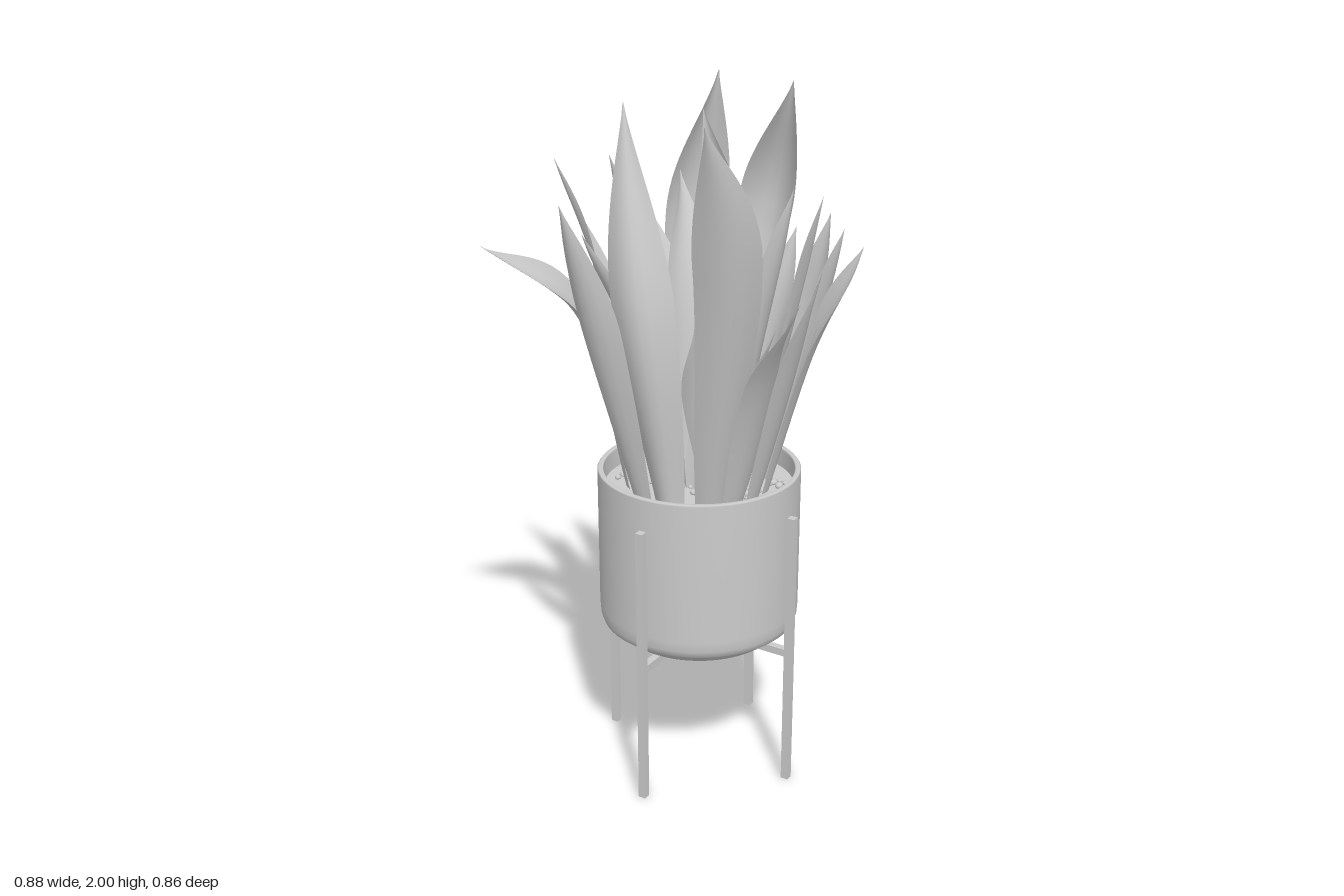
import * as THREE from 'three';

const CX = 0.016, CZ = -0.022; // axis of the pot
const SOIL_Y = 0.88;

const grey = new THREE.MeshStandardMaterial({ color: 0xcccccc });
const leafGrey = new THREE.MeshStandardMaterial({ color: 0xcccccc, side: THREE.DoubleSide });

// Each leaf: base x,z | middle x,y,z | tip x,y,z | half width | twist at the tip | cup depth | turn about y
const frontLeaves = [
  [0.035, 0.17, 0.0, 1.45, 0.255, -0.1, 1.98, 0.165, 0.085, 0.5, 0.7, 0.3],
  [-0.06, 0.17, -0.1, 1.38, 0.33, -0.12, 1.76, 0.425, 0.075, 0.4, 0.6],
  [0.13, 0.1, 0.265, 1.6, 0.24, 0.26, 1.98, 0.355, 0.09, -0.4, 0.45],
  [-0.15, 0.09, -0.29, 1.4, 0.15, -0.43, 1.6, 0.36, 0.07, 0.5],
  [0.12, 0.06, 0.11, 1.2, 0.13, 0.13, 1.42, 0.19, 0.045, 0.9],
  [0.18, 0.07, 0.31, 1.28, 0.115, 0.42, 1.52, 0.155, 0.065, 1.0],
  [-0.18, 0.0, -0.29, 1.42, 0.01, -0.44, 1.77, 0.01, 0.075, 1.0],
];
const backLeaves = [
  [-0.01, -0.25, 0.02, 1.62, -0.43, 0.11, 1.98, -0.36, 0.085, 0.3, 0.8],
  [-0.11, -0.19, -0.185, 1.6, -0.32, -0.1, 2.0, -0.31, 0.09, 0.4, 0.55],
  [-0.11, -0.09, -0.18, 1.42, -0.11, -0.31, 1.74, -0.14, 0.08, 1.0],
  [-0.07, -0.12, -0.11, 1.42, -0.17, -0.2, 1.72, -0.265, 0.075, 0.9],
  [0.07, -0.2, 0.11, 1.33, -0.28, 0.14, 1.58, -0.34, 0.055, 0.6],
  [0.13, -0.18, 0.22, 1.36, -0.28, 0.26, 1.64, -0.315, 0.058, 0.6],
  [0.17, -0.13, 0.29, 1.35, -0.2, 0.34, 1.62, -0.24, 0.062, 0.5],
];
const innerLeaves = [
  [0.2, -0.08, 0.34, 1.34, -0.11, 0.435, 1.6, -0.165, 0.062, 1.1],
  [0.2, -0.01, 0.34, 1.32, 0.01, 0.41, 1.57, 0.02, 0.062, 0.6],
  [0.14, -0.07, 0.26, 1.4, -0.13, 0.31, 1.72, -0.17, 0.065, 0.4],
  [0.08, -0.1, 0.15, 1.38, -0.16, 0.2, 1.72, -0.21, 0.065, 0.4],
  [0.03, 0.02, 0.105, 1.55, -0.04, 0.04, 1.95, 0.0, 0.08, 0.4, 0.35, 1.2],
  [-0.03, 0.0, -0.08, 1.4, 0.06, -0.17, 1.83, 0.13, 0.075, 1.0],
  [-0.07, 0.05, -0.13, 1.3, 0.1, -0.23, 1.62, 0.18, 0.06, 0.8],
  [0.0, -0.1, 0.0, 1.4, -0.17, -0.01, 1.8, -0.13, 0.065, 0.6],
  [0.17, 0.02, 0.22, 1.2, 0.03, 0.28, 1.4, 0.02, 0.045, 0.8],
];

// Cupped, pointed blade swept along a curve
function makeLeaf([bx, bz, mx, my, mz, tx, ty, tz, width, twist, cup = 0.35, turn = 0]) {
  const curve = new THREE.CatmullRomCurve3([
    new THREE.Vector3(bx, SOIL_Y - 0.03, bz),
    new THREE.Vector3(mx, my, mz),
    new THREE.Vector3(tx, ty, tz),
  ]);
  const outward = new THREE.Vector3(mx - CX, 0, mz - CZ).normalize();
  outward.applyAxisAngle(new THREE.Vector3(0, 1, 0), turn);
  const rows = 28, cols = 6;
  const positions = [], index = [];
  for (let i = 0; i <= rows; i++) {
    const t = i / rows;
    const p = curve.getPoint(t);
    const tangent = curve.getTangent(t);
    const side = new THREE.Vector3().crossVectors(tangent, outward).normalize();
    side.applyAxisAngle(tangent, twist * t * t);
    const normal = new THREE.Vector3().crossVectors(side, tangent).normalize();
    // narrow foot, broad middle, drawn-out tip
    const swell = 0.45 + 0.55 * Math.sin(Math.PI * Math.min(t / 1.1, 0.5));
    const taper = t < 0.5 ? 1 : Math.pow(Math.cos((t - 0.5) * Math.PI), 1.15);
    const w = width * swell * Math.max(taper, 0.01);
    for (let j = 0; j <= cols; j++) {
      const s = (j / cols) * 2 - 1;
      const v = p.clone().addScaledVector(side, s * w).addScaledVector(normal, -cup * w * s * s);
      positions.push(v.x, v.y, v.z);
      if (i < rows && j < cols) {
        const a = i * (cols + 1) + j, b = a + cols + 1;
        index.push(a, a + 1, b, a + 1, b + 1, b);
      }
    }
  }
  const geo = new THREE.BufferGeometry();
  geo.setAttribute('position', new THREE.Float32BufferAttribute(positions, 3));
  geo.setIndex(index);
  geo.computeVertexNormals();
  return new THREE.Mesh(geo, leafGrey);
}

function addMesh(parent, name, geo, x, y, z) {
  const mesh = new THREE.Mesh(geo, grey);
  mesh.name = name;
  mesh.position.set(x, y, z);
  parent.add(mesh);
  return mesh;
}

// Small seeded generator for the pebbles
function seeded(seed) {
  return () => (seed = (seed * 16807) % 2147483647) / 2147483647;
}

export function createModel() {
  const model = new THREE.Group();
  model.name = 'pottedPlant';

  // Pot: stepped foot, straight wall, thin rim, hollow top
  const profile = [
    [0, 0.432], [0.23, 0.432], [0.236, 0.436], [0.247, 0.452], [0.256, 0.46], [0.272, 0.464],
    [0.282, 0.472], [0.288, 0.49], [0.29, 0.52], [0.29, 0.934], [0.287, 0.938], [0.275, 0.938],
    [0.272, 0.934], [0.272, 0.86],
  ].map(([r, y]) => new THREE.Vector2(r, y));
  addMesh(model, 'pot', new THREE.LatheGeometry(profile, 72), CX, 0, CZ);

  // Soil
  addMesh(model, 'soil', new THREE.CylinderGeometry(0.273, 0.273, 0.02, 64), CX, SOIL_Y - 0.01, CZ);

  // Stand: four square legs and two crossed bars under the pot
  const stand = new THREE.Group();
  stand.name = 'stand';
  const reach = 0.304, bar = 0.022;
  for (let i = 0; i < 4; i++) {
    const a = (i * Math.PI) / 2;
    addMesh(stand, 'leg', new THREE.BoxGeometry(bar, 0.845, bar),
      CX + reach * Math.cos(a), 0.4225, CZ + reach * Math.sin(a));
  }
  addMesh(stand, 'crossBar', new THREE.BoxGeometry(reach * 2, bar, bar), CX, 0.42, CZ);
  addMesh(stand, 'crossBar', new THREE.BoxGeometry(bar, bar, reach * 2), CX, 0.42, CZ);
  model.add(stand);

  // Pebbles scattered on the soil
  const pebbles = new THREE.Group();
  pebbles.name = 'pebbles';
  const rand = seeded(41);
  const pebbleGeo = new THREE.IcosahedronGeometry(1, 1);
  for (let i = 0; i < 90; i++) {
    const a = rand() * Math.PI * 2, r = 0.25 * Math.sqrt(rand()), s = 0.007 + 0.006 * rand();
    const pebble = addMesh(pebbles, 'pebble', pebbleGeo,
      CX + r * Math.cos(a), SOIL_Y + s * 0.4, CZ + r * Math.sin(a));
    pebble.scale.set(s * 1.2, s * 0.8, s);
    pebble.rotation.y = a * 3;
  }
  model.add(pebbles);

  // Leaves
  const leaves = new THREE.Group();
  leaves.name = 'leaves';
  for (const spec of [...frontLeaves, ...backLeaves, ...innerLeaves]) {
    const leaf = makeLeaf(spec);
    leaf.name = 'leaf';
    leaves.add(leaf);
  }
  model.add(leaves);

  return model;
}
